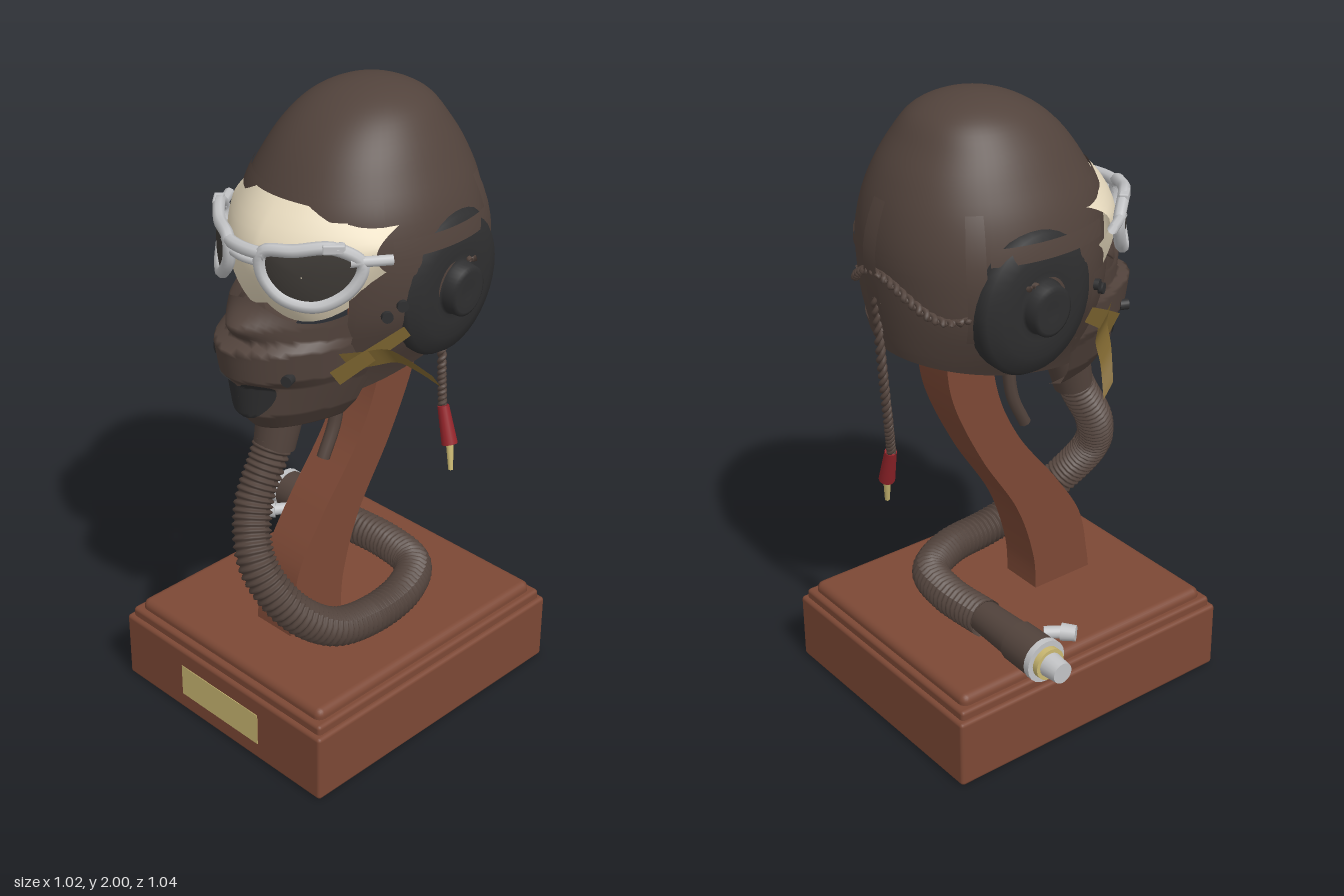
import * as THREE from 'three';
import { RoundedBoxGeometry } from 'three/addons/geometries/RoundedBoxGeometry.js';
import { ParametricGeometry } from 'three/addons/geometries/ParametricGeometry.js';

const CX = 0.055; // the display is centred on this x
const V = (x, y, z) => new THREE.Vector3(x, y, z);

function material(name, color, double = true) {
  const m = new THREE.MeshStandardMaterial({ color, side: double ? THREE.DoubleSide : THREE.FrontSide });
  m.name = name;
  return m;
}

// Smooth interpolation through rows of [key, a, b, c]
function rowsCurve(rows) {
  const it = new THREE.CubicInterpolant(rows.map(r => r[0]), rows.flatMap(r => r.slice(1)), 3);
  return k => it.evaluate(k);
}

// Helmet rows: y, half width, front z, back z (keyed by the root of the depth below the crown)
const helmetRow = rowsCurve([
  [2.0, 0, -0.13, -0.13], [1.985, 0.1, -0.025, -0.23], [1.95, 0.168, 0.055, -0.298],
  [1.88, 0.23, 0.14, -0.355], [1.8, 0.277, 0.2, -0.405], [1.7, 0.322, 0.25, -0.443],
  [1.6, 0.345, 0.265, -0.46], [1.5, 0.35, 0.265, -0.458], [1.4, 0.335, 0.26, -0.45],
  [1.3, 0.29, 0.25, -0.435], [1.2, 0.235, 0.24, -0.41], [1.05, 0.17, 0.22, -0.37],
].map(([y, ...r]) => [Math.sqrt(2 - y), ...r]));

// Point on the helmet at angle a (0 = front, towards +x) and height y
function helmetPoint(a, y, off = 0, target = V(0, 0, 0)) {
  const [hx, zf, zb] = helmetRow(Math.sqrt(Math.max(2 - y, 0)));
  const pow = c => Math.sign(c) * Math.pow(Math.abs(c) + 1e-9, 0.94);
  return target.set(CX + (hx + off) * pow(Math.sin(a)), y, (zf + zb) / 2 + ((zf - zb) / 2 + off) * pow(Math.cos(a)));
}

// Mask rows, rising: y, half width, front z, back z
const MASK = [
  [1.01, 0.05, 0.27, 0.13], [1.05, 0.13, 0.345, 0.11], [1.11, 0.175, 0.395, 0.1], [1.21, 0.215, 0.405, 0.08],
  [1.24, 0.23, 0.44, 0.08], [1.33, 0.235, 0.455, 0.1], [1.355, 0.235, 0.39, 0.1], [1.40, 0.24, 0.385, 0.1], [1.47, 0.25, 0.35, 0.1],
];
function maskRow(y) {
  let i = 0;
  while (i < MASK.length - 2 && y > MASK[i + 1][0]) i++;
  const t = (y - MASK[i][0]) / (MASK[i + 1][0] - MASK[i][0]);
  return MASK[i].slice(1).map((v, k) => THREE.MathUtils.lerp(v, MASK[i + 1][k + 1], t));
}
function maskZ(dx, y) {
  const [hw, zf, zb] = maskRow(y);
  const nose = 0.045 * Math.exp(-((dx / 0.075) ** 2)) * Math.exp(-(((y - 1.395) / 0.035) ** 2));
  return zb + (zf - zb) * Math.pow(Math.max(1 - (dx / hw) ** 2, 0), 0.7) + nose;
}

const goggleZ = dx => 0.38 - 2.3 * dx * dx;
const spline = (pts, closed = false) => new THREE.CatmullRomCurve3(pts.map(p => V(...p)), closed);

export function createModel() {
  const group = new THREE.Group();
  const wood = material('wood', 0x7c4835, false);
  const leather = material('brown leather', 0x52433c);
  const cream = material('cream padding', 0xe8dbbf);
  const metal = material('grey metal', 0xc2c3c5);
  const black = material('black rubber', 0x2f2f30);
  const glass = material('dark lens', 0x3d3935);
  const webbing = material('ochre webbing', 0x846b33);
  const brass = material('brass', 0xcab872);
  const red = material('red plug', 0x93242a);

  function add(name, geo, mat, pos) {
    const mesh = new THREE.Mesh(geo, mat);
    mesh.name = name;
    if (pos) mesh.position.set(...pos);
    group.add(mesh);
    return mesh;
  }
  const surf = (name, mat, fn, nu, nv) => add(name, new ParametricGeometry(fn, nu, nv), mat);
  const tube = (name, mat, pts, r, n = 40, closed = false) =>
    add(name, new THREE.TubeGeometry(spline(pts, closed), n, r, 8, closed), mat);
  function rod(name, mat, a, b, ra, rb = ra) {
    const d = V(...b).sub(V(...a));
    const m = add(name, new THREE.CylinderGeometry(rb, ra, d.length(), 20), mat);
    m.position.copy(V(...a)).addScaledVector(d, 0.5);
    m.quaternion.setFromUnitVectors(V(0, 1, 0), d.normalize());
  }
  // Strip of leather lying on the helmet; bulge lifts its middle
  const strip = (name, a0, a1, y0, y1, off, bulge = 0) => surf(name, leather, (u, v, t) =>
    helmetPoint(a0 + (a1 - a0) * u, y0 + (y1 - y0) * v, off + bulge * Math.sin(Math.PI * v), t),
    Math.max(3, Math.ceil(Math.abs(a1 - a0) * 14)), 8);
  // Two strands twisted round a path
  function twisted(name, path, r, turns) {
    for (const s of [0, Math.PI]) {
      const pts = [];
      for (let i = 0; i <= turns * 6; i++) {
        const p = path(i / (turns * 6)), k = s + i * Math.PI / 3;
        pts.push([p.x + r * Math.cos(k), p.y + r * 0.4 * Math.sin(k), p.z + r * Math.sin(k)]);
      }
      tube(name, leather, pts, r, turns * 14);
    }
  }
  // Webbing ribbon that narrows towards its free end
  function ribbon(name, mat, pts, w) {
    const c = spline(pts);
    surf(name, mat, (u, v, t) => {
      c.getPoint(u, t);
      const d = (v - 0.5) * w * (1 - 0.3 * u);
      t.y += d * 0.8;
      t.z += d * 0.6;
    }, 16, 2);
  }

  // Wooden base with stepped moulding, and plaque
  add('base', new RoundedBoxGeometry(0.89, 0.23, 1.04, 2, 0.012), wood, [CX, 0.115, 0]);
  add('baseMoulding', new RoundedBoxGeometry(0.86, 0.06, 1.01, 2, 0.012), wood, [CX, 0.23, 0]);
  add('baseTop', new RoundedBoxGeometry(0.82, 0.1, 0.97, 3, 0.025), wood, [CX, 0.243, 0]);
  add('plaque', new THREE.BoxGeometry(0.35, 0.11, 0.008), brass, [CX, 0.115, 0.518]);

  // Curved post
  const post = new THREE.Shape();
  post.moveTo(0.286, 0.27);
  post.splineThru([[0.275, 0.36], [0.24, 0.52], [0.14, 0.68], [-0.016, 0.89], [-0.10, 1.1], [-0.12, 1.4]].map(p => new THREE.Vector2(...p)));
  post.lineTo(-0.28, 1.4);
  post.splineThru([[-0.28, 1.2], [-0.25, 1.05], [-0.15, 0.84], [-0.016, 0.62], [0.05, 0.42], [0.06, 0.27]].map(p => new THREE.Vector2(...p)));
  const postGeo = new THREE.ExtrudeGeometry(post, { depth: 0.15, bevelEnabled: false, curveSegments: 30 });
  add('post', postGeo.rotateY(-Math.PI / 2).translate(0.13, 0, 0), wood);

  // Helmet: closed crown above, skirt with an open face below, lower towards the chin
  const BROW = 1.71, STEP = Math.PI / 32, OPEN = 7 * STEP;
  surf('helmetCrown', leather, (u, v, t) => {
    const k = 1 - v * 0.998;
    helmetPoint(Math.PI * (2 * u - 1), 2 - (2 - BROW) * k * k, 0, t);
  }, 64, 20);
  surf('helmetSkirt', leather, (u, v, t) => {
    const a = OPEN + 50 * STEP * u;
    const bottom = 1.185 - 0.085 * Math.cos(a);
    helmetPoint(a, bottom + (BROW - bottom) * v, 0, t);
  }, 50, 20);
  strip('browBand', -1.0, 1.0, 1.705, 1.76, 0.006);
  strip('neckBand', 2.2, 2 * Math.PI - 2.2, 1.3, 1.34, 0.004);

  // Loops that hold the cable at the back
  for (const a of [Math.PI - 0.06, Math.PI - 1.0, Math.PI + 0.92])
    strip('cableLoop', a - 0.07, a + 0.09, 1.36, 1.74, 0.004, 0.012);
  strip('rearStrap', 1.9, 2 * Math.PI - 1.9, 1.56, 1.59, 0.005);
  twisted('cable', t => helmetPoint(1.75 + (2 * Math.PI - 3.5) * t, 1.48 + 0.05 * Math.cos(4 * Math.PI * t), 0.006), 0.009, 20);

  // Ear cups
  const cup = [[0.2, -0.12], [0.2, -0.04], [0.185, -0.015], [0.14, 0.003], [0.09, 0.008], [0.075, 0.004], [0.07, 0.012],
    [0.067, 0.045], [0.055, 0.052], [0.02, 0.048], [0, 0.048]].map(p => new THREE.Vector2(...p));
  for (const s of [-1, 1]) {
    const ear = add('earCup', new THREE.LatheGeometry(cup, 36), black, [CX + s * 0.34, 1.455, -0.135]);
    ear.rotation.z = -s * (Math.PI / 2 + 0.06);
    ear.scale.x = 1.17;
    // Goggle strap over the cup, chin flap and snaps on the side
    strip('goggleStrap', s * 1.05, s * 2.1, 1.605, 1.655, 0.018);
    strip('cheekFlap', s * 0.75, s * 1.15, 1.2, 1.5, 0.01);
    for (const [a, y] of [[1.0, 1.43], [1.12, 1.46]]) {
      const p = helmetPoint(s * a, y, 0.01);
      rod('snap', black, p.toArray(), [p.x + s * 0.013, p.y, p.z + 0.008], 0.017);
    }
  }

  // Cream face padding
  surf('facePadding', cream, (u, v, t) => {
    const dx = 0.295 * (2 * u - 1), q = Math.abs(dx) / 0.295;
    const top = 1.745 - 0.05 * q * q, low = 1.43 - 0.04 * Math.sin(Math.PI * q) + 0.12 * q ** 3;
    const w = 2 * v - 1;
    t.set(CX + dx, low + (top - low) * v, goggleZ(dx) - 0.03 - (w > 0 ? 0.1 : 0.06) * w * w);
  }, 32, 12);

  // Goggles
  for (const s of [-1, 1]) {
    const rim = [[0.07, 1.635], [0.15, 1.65], [0.235, 1.66], [0.285, 1.61], [0.265, 1.535], [0.2, 1.485], [0.12, 1.505], [0.068, 1.57]]
      .map(([dx, y]) => [CX + s * dx, y, goggleZ(dx)]);
    tube('goggleRim', metal, rim, 0.019, 56, true);
    const edge = spline(rim, true);
    surf('lens', glass, (u, v, t) => {
      edge.getPoint(u, t);
      const k = 0.02 + 0.98 * v;
      const dx = (0.175 + (Math.abs(t.x - CX) - 0.175) * k);
      t.set(CX + s * dx, 1.575 + (t.y - 1.575) * k, goggleZ(dx) + 0.012 * (1 - v * v));
    }, 40, 5);
    // Side bracket and hinge plate
    tube('goggleBracket', metal, [0.265, 0.3, 0.335].map(dx => [CX + s * dx, 1.62, goggleZ(dx) + 0.004]), 0.016, 8);
    const hinge = add('goggleHinge', new RoundedBoxGeometry(0.065, 0.03, 0.03, 1, 0.006), metal,
      [CX + s * 0.235, 1.662, goggleZ(0.235) + 0.004]);
    hinge.rotation.y = s * 0.82;
  }
  tube('goggleBridge', metal, [-0.08, -0.04, 0, 0.04, 0.08].map(dx => [CX + dx, 1.63, goggleZ(dx)]), 0.019);
  tube('lowerBridge', metal, [-0.075, 0, 0.075].map(dx => [CX + dx, 1.6, goggleZ(dx)]), 0.012);

  // Breathing mask; its upper edge dips below each lens
  surf('mask', leather, (u, v, t) => {
    const a = Math.PI * (u - 0.5) * 0.998, dip = Math.sin(2 * a) ** 2;
    const y = 1.01 + (0.45 - 0.045 * dip) * v, dx = maskRow(y)[0] * Math.sin(a);
    t.set(CX + dx, y, maskZ(dx, y));
  }, 36, 46);
  const patchEdge = spline([[0, 1.205, 0], [0.05, 1.235, 0], [0.1, 1.22, 0], [0.098, 1.175, 0], [0.04, 1.105, 0],
    [-0.04, 1.105, 0], [-0.098, 1.175, 0], [-0.1, 1.22, 0], [-0.05, 1.235, 0]], true);
  surf('maskPatch', black, (u, v, t) => {
    patchEdge.getPoint(1 - u, t);
    const k = 0.01 + 0.99 * v, dx = t.x * k, y = 1.17 + (t.y - 1.17) * k;
    t.set(CX + dx, y, maskZ(dx, y) + 0.007);
  }, 36, 8);
  for (const s of [-1, 1]) {
    const z = maskZ(0.14, 1.255);
    rod('maskStud', black, [CX + s * 0.14, 1.255, z - 0.01], [CX + s * 0.15, 1.255, z + 0.016], 0.017);
    // Webbing tab across the cheek
    ribbon('cheekTab', webbing, [[CX + s * 0.225, 1.25, 0.24], [CX + s * 0.28, 1.315, 0.14], [CX + s * 0.325, 1.37, 0.05]], 0.07);
  }

  // Free webbing ends and hanging chin strap
  ribbon('maskStrap', webbing, [[0.28, 1.29, 0.2], [0.32, 1.295, 0.15], [0.37, 1.305, 0.1], [0.43, 1.29, 0.08], [0.505, 1.26, 0.06]], 0.085);
  ribbon('maskStrap', webbing, [[-0.17, 1.29, 0.2], [-0.21, 1.295, 0.16], [-0.26, 1.29, 0.11], [-0.315, 1.25, 0.08], [-0.365, 1.16, 0.05]], 0.085);
  tube('chinStrap', leather, [[0.09, 1.2, 0.04], [0.09, 1.08, 0.035], [0.09, 0.96, 0.05], [0.09, 0.85, 0.1]], 0.021);

  // Ribbed hose
  const hosePath = spline([[CX, 1.0, 0.255], [CX, 0.92, 0.295], [0.07, 0.78, 0.375], [0.14, 0.64, 0.425], [0.23, 0.5, 0.38], [0.285, 0.4, 0.26],
    [0.293, 0.362, 0.1], [0.27, 0.36, -0.08], [0.19, 0.36, -0.21], [0.05, 0.36, -0.245], [-0.14, 0.362, -0.237]]);
  const rings = 480, sides = 14, ribs = 80;
  const hose = new THREE.TubeGeometry(hosePath, rings, 0.057, sides);
  const pos = hose.attributes.position, nor = hose.attributes.normal;
  for (let i = 0; i < pos.count; i++) {
    const ring = Math.floor(i / (sides + 1)), d = 0.005 * Math.cos(2 * Math.PI * ribs * ring / rings);
    pos.setXYZ(i, pos.getX(i) + nor.getX(i) * d, pos.getY(i) + nor.getY(i) * d, pos.getZ(i) + nor.getZ(i) * d);
  }
  hose.computeVertexNormals();
  add('hose', hose, leather);
  rod('hoseCollar', leather, [CX, 1.09, 0.235], [CX, 0.95, 0.27], 0.075, 0.064);

  // Hose connector
  const along = (name, mat, x0, x1, r0, r1) => rod(name, mat, [x0, 0.365, -0.235], [x1, 0.365, -0.235], r0, r1);
  along('connectorSleeve', leather, -0.12, -0.3, 0.052, 0.06);
  along('connectorBody', leather, -0.3, -0.42, 0.066, 0.068);
  along('connectorCollar', metal, -0.415, -0.437, 0.07, 0.07);
  along('connectorRing', brass, -0.437, -0.457, 0.052, 0.052);
  along('connectorTip', metal, -0.457, -0.515, 0.04, 0.034);
  rod('sidePlug', metal, [-0.32, 0.37, -0.15], [-0.355, 0.37, -0.1], 0.02);
  rod('sidePlugCap', metal, [-0.35, 0.37, -0.105], [-0.385, 0.37, -0.075], 0.028, 0.025);

  // Hanging cord with plug
  const cord = spline([[0.07, 1.45, -0.462], [0.085, 1.2, -0.437], [0.12, 1.0, -0.4], [0.155, 0.87, -0.37]]);
  twisted('cord', t => cord.getPoint(t), 0.008, 12);
  rod('plugHandle', red, [0.158, 0.875, -0.37], [0.2, 0.755, -0.36], 0.019, 0.026);
  rod('plugTip', brass, [0.2, 0.755, -0.36], [0.217, 0.67, -0.35], 0.012, 0.008);

  return group;
}
